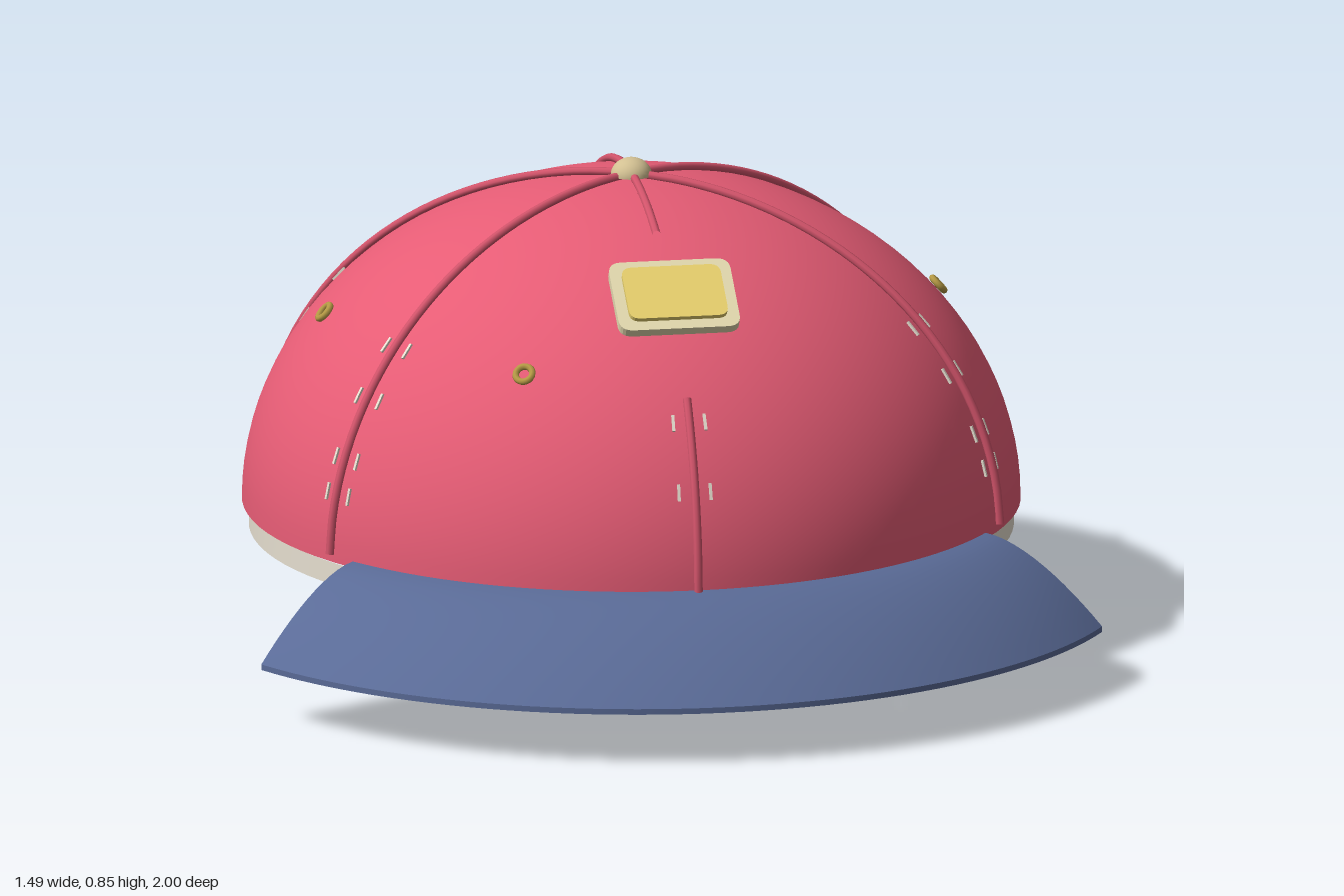
import * as THREE from 'three';
import { mergeVertices } from 'three/addons/utils/BufferGeometryUtils.js';

const R = 0.68, H = 0.58, BASE = 0.24, CZ = 0.065;

const mat = (name, color, side = THREE.FrontSide) => {
  const m = new THREE.MeshStandardMaterial({ color, side });
  m.name = name;
  return m;
};

// Smooth surface from fn(u, v) -> Vector3, front face along dU x dV
function surface(nu, nv, fn) {
  const pos = [], idx = [];
  for (let j = 0; j <= nv; j++)
    for (let i = 0; i <= nu; i++) pos.push(...fn(i / nu, j / nv).toArray());
  for (let j = 0; j < nv; j++)
    for (let i = 0; i < nu; i++) {
      const a = j * (nu + 1) + i, b = a + 1, c = a + nu + 1, d = c + 1;
      idx.push(a, b, d, a, d, c);
    }
  let g = new THREE.BufferGeometry();
  g.setAttribute('position', new THREE.Float32BufferAttribute(pos, 3));
  g.setIndex(idx);
  g = mergeVertices(g, 1e-5);
  g.computeVertexNormals();
  return g;
}

// Point on the dome: phi from the front towards +x, a = elevation, out = lift
function dome(phi, a, out = 0) {
  const r = (R + out) * Math.cos(a);
  return new THREE.Vector3(r * Math.sin(phi), BASE + (H + out) * Math.sin(a), CZ + r * Math.cos(phi));
}
const elevation = (y) => Math.asin((y - BASE) / H);
const domeNormal = (phi, a) => new THREE.Vector3(
  Math.cos(a) / R * Math.sin(phi), Math.sin(a) / H, Math.cos(a) / R * Math.cos(phi)).normalize();

// Height of the crown's lower edge, with the angular opening at the back
function edgeY(phi) {
  const d = Math.abs(Math.abs(phi) - Math.PI) / (Math.PI / 6);
  if (d >= 1) return BASE;
  return d < 0.5 ? 0.38 - 0.08 * d : 0.34 - 0.2 * (d - 0.5);
}

function roundedRect(w, h, r, depth) {
  const s = new THREE.Shape(), x = w / 2, y = h / 2;
  s.moveTo(-x + r, -y).lineTo(x - r, -y).quadraticCurveTo(x, -y, x, -y + r)
    .lineTo(x, y - r).quadraticCurveTo(x, y, x - r, y)
    .lineTo(-x + r, y).quadraticCurveTo(-x, y, -x, y - r)
    .lineTo(-x, -y + r).quadraticCurveTo(-x, -y, -x + r, -y);
  return new THREE.ExtrudeGeometry(s, { depth, bevelEnabled: false, curveSegments: 6 });
}

export function createModel() {
  const cap = new THREE.Group();
  cap.name = 'cap';
  const red = mat('red cloth', 0xe65c75, THREE.DoubleSide);
  const seamRed = mat('seam red', 0xd3546b);
  const blue = mat('blue cloth', 0x5a6b97, THREE.DoubleSide);
  const khaki = mat('khaki lining', 0xd2c092);
  const cream = mat('cream band', 0xe6dfd0, THREE.DoubleSide);
  const tan = mat('tan trim', 0xe2d8ae);
  const gold = mat('gold panel', 0xe6cf6c);
  const brass = mat('brass', 0xb59a45);
  const add = (name, geo, m, parent = cap) => {
    const mesh = new THREE.Mesh(geo, m);
    mesh.name = name;
    parent.add(mesh);
    return mesh;
  };
  const group = (name) => {
    const g = new THREE.Group();
    g.name = name;
    cap.add(g);
    return g;
  };

  // Crown and inner band
  add('crown', surface(96, 28, (u, v) => {
    const phi = (u * 2 - 1) * Math.PI;
    const a0 = elevation(edgeY(phi));
    return dome(phi, a0 + (Math.PI / 2 - a0) * v);
  }), red);
  add('sweatband', surface(96, 1, (u, v) => {
    const phi = (u * 2 - 1) * Math.PI, y = edgeY(phi);
    const p = dome(phi, elevation(y), -0.012);
    p.y = y - 0.046 + 0.04 * v;
    return p;
  }), cream);

  // Raised seams; the front one is interrupted behind the badge
  const seams = group('seams');
  const seam = (phi, a0, a1) => {
    const pts = [];
    for (let i = 0; i <= 12; i++) pts.push(dome(phi, a0 + (a1 - a0) * i / 12, 0.006));
    add('seam', new THREE.TubeGeometry(new THREE.CatmullRomCurve3(pts), 32, 0.0075, 8), seamRed, seams);
  };
  const top = Math.PI / 2 - 0.02;
  for (const deg of [60, 120, -60, -120]) seam(deg * Math.PI / 180, elevation(0.255), top);
  seam(Math.PI, elevation(0.385), top);
  seam(0, elevation(0.25), elevation(0.565));
  seam(0, Math.acos(0.255 / R), top);

  // Stitches in pairs beside the seams
  const stitches = group('stitches');
  for (let k = 0; k < 6; k++)
    for (const y of k === 3 ? [0.5, 0.6, 0.68, 0.74] : k === 0 ? [0.42, 0.53] : [0.36, 0.42, 0.52, 0.6])
      for (const s of [-1, 1]) {
        const a = elevation(y), gap = y > 0.65 ? 0.014 : 0.028;
        const phi = k * Math.PI / 3 + s * gap / (R * Math.cos(a));
        const m = add('stitch', new THREE.BoxGeometry(0.005, 0.03, 0.004), cream, stitches);
        m.position.copy(dome(phi, a, 0.002));
        m.rotation.set(-Math.atan2(Math.sin(a) / H, Math.cos(a) / R), phi, 0, 'YXZ');
      }

  // Top button
  const button = add('topButton', new THREE.SphereGeometry(0.036, 24, 10, 0, Math.PI * 2, 0, Math.PI / 2), khaki);
  button.scale.y = 0.85;
  button.position.set(0, 0.823, CZ);

  // Eyelets
  const eyelets = group('eyelets');
  for (const deg of [-30, 90, -90, 150]) {
    const phi = deg * Math.PI / 180, a = elevation(0.595);
    const ring = add('eyelet', new THREE.TorusGeometry(0.015, 0.006, 8, 20), brass, eyelets);
    ring.position.copy(dome(phi, a, 0.008));
    ring.quaternion.setFromUnitVectors(new THREE.Vector3(0, 0, 1), domeNormal(phi, a));
  }

  // Brim: curved top, lining underneath, closed rim
  const half = 55.4 * Math.PI / 180;
  const brim = group('brim');
  const brimPoint = (u, s, drop) => {
    const phi = (u * 2 - 1) * half;
    const outer = 0.935 - 0.03 * (phi / half) ** 2;
    const r = 0.681 + (outer - 0.681) * s;
    return new THREE.Vector3(r * Math.sin(phi), 0.252 - 0.144 * s ** 1.6 - drop, CZ + r * Math.cos(phi));
  };
  const T = 0.01;
  add('brimTop', surface(48, 12, (u, v) => brimPoint(u, 1 - v, 0)), blue, brim);
  add('brimUnderside', surface(48, 12, (u, v) => brimPoint(u, v, T)), khaki, brim);
  add('brimRim', surface(48, 1, (u, v) => brimPoint(u, 1, T * (1 - v))), blue, brim);
  for (const u of [0, 1])
    add('brimEnd', surface(12, 1, (s, v) => brimPoint(u, s, T * v)), blue, brim);

  // Loose back straps: thin bands sloping down as they go back
  const slopeY = (z) => 0.25 + (z + 0.54) * 0.485;
  const strap = (name, pts) => {
    const curve = new THREE.CatmullRomCurve3(pts.map(([x, z]) => new THREE.Vector3(x, slopeY(z), z)));
    const geo = surface(40, 4, (u, v) => {
      const p = curve.getPoint(u), t = curve.getTangent(u);
      const k = Math.round(v * 4) % 4;
      const side = new THREE.Vector3(-t.z, 0, t.x).normalize();
      p.addScaledVector(side, k === 0 || k === 3 ? 0.003 : -0.003);
      p.y += k < 2 ? -0.024 : 0.024;
      return p;
    }).toNonIndexed();
    geo.computeVertexNormals();
    add(name, geo, blue);
  };
  strap('rightStrap', [[-0.355, -0.54], [-0.315, -0.74], [-0.25, -0.92], [-0.18, -0.995], [-0.115, -0.94], [-0.06, -0.83]]);
  strap('leftStrap', [[0.355, -0.54], [0.31, -0.75], [0.235, -0.93], [0.155, -0.995], [0.08, -0.935], [0.02, -0.83]]);

  // Strap buckle and snaps
  add('buckle', new THREE.BoxGeometry(0.04, 0.045, 0.01), gold).position.set(-0.06, slopeY(-0.83), -0.832);
  const snaps = group('snaps');
  for (const [x, z] of [[0.055, -0.83], [0.142, -0.786], [0.23, -0.705]]) {
    const s = add('snap', new THREE.CylinderGeometry(0.009, 0.009, 0.006, 12), brass, snaps);
    s.rotation.x = Math.PI / 2;
    s.position.set(x, slopeY(z), z);
  }

  // Front badge: layered plates tilted with the crown
  const badge = group('badge');
  badge.position.set(0, 0.71, 0.497);
  badge.rotation.x = -57 * Math.PI / 180;
  add('badgePlate', roundedRect(0.215, 0.16, 0.025, 0.016), tan, badge);
  add('badgePanel', roundedRect(0.175, 0.12, 0.02, 0.008), gold, badge).position.z = 0.016;
  return cap;
}
